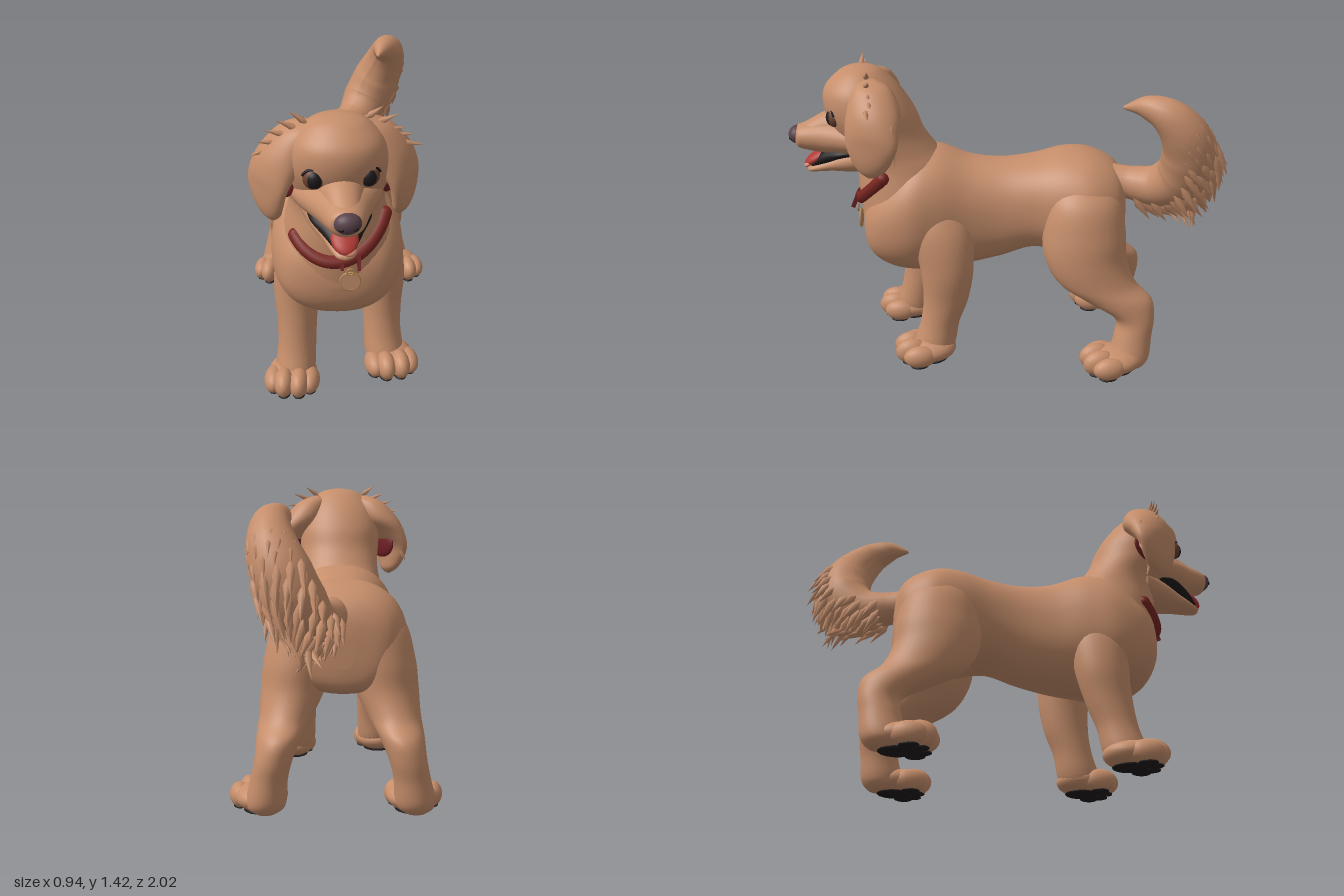
import * as THREE from 'three';
import { mergeGeometries } from 'three/addons/utils/BufferGeometryUtils.js';

const mat = (name, color) => Object.assign(new THREE.MeshStandardMaterial({ color }), { name });
const V = (x, y, z) => new THREE.Vector3(x, y, z);

let seed = 7;
const rand = () => (seed = (seed * 16807) % 2147483647) / 2147483647;

function add(parent, name, geometry, material) {
  const m = new THREE.Mesh(geometry, material);
  m.name = name;
  parent.add(m);
  return m;
}

function blob(parent, name, material, pos, radii, seg = 24) {
  const m = add(parent, name, new THREE.SphereGeometry(1, seg, Math.ceil(seg * 0.7)), material);
  m.position.set(...pos);
  m.scale.set(...radii);
  return m;
}

// Smoothly interpolated rounded sections [x, y, z, a, b, turn].
// axis 'y': horizontal (a on x, b on z); axis 'z': upright (a on x, b on y). power < 1 squares them off.
function loft(sections, axis, power = 1, steps = 6, n = 36) {
  const last = sections.length - 1, pos = [], idx = [], rings = last * steps + 1;
  const at = i => sections[Math.min(last, Math.max(0, i))];
  const soft = c => Math.sign(c) * Math.abs(c) ** power;
  for (let r = 0; r < rings; r++) {
    const k = Math.min(last - 1, Math.floor(r / steps)), t = r / steps - k;
    const [x, y, z, a, b, turn] = [0, 1, 2, 3, 4, 5].map(c => {
      const [p, q, s, w] = [-1, 0, 1, 2].map(o => at(k + o)[c] ?? 0);
      return q + 0.5 * t * (s - p + t * (2 * p - 5 * q + 4 * s - w + t * (3 * (q - s) + w - p)));
    });
    for (let j = 0; j < n; j++) {
      const th = (j / n) * Math.PI * 2;
      const u = soft(Math.cos(th)) * Math.max(a, 0.002), v = soft(Math.sin(th)) * Math.max(b, 0.002);
      const u2 = u * Math.cos(turn) - v * Math.sin(turn), v2 = u * Math.sin(turn) + v * Math.cos(turn);
      pos.push(x + u2, axis === 'y' ? y : y + v2, axis === 'y' ? z + v2 : z);
    }
  }
  for (let r = 0; r < rings - 1; r++) for (let j = 0; j < n; j++) {
    const a = r * n + j, b = r * n + (j + 1) % n;
    idx.push(a, a + n, b, b, a + n, b + n);
  }
  for (let j = 1; j < n - 1; j++) {
    const e = (rings - 1) * n;
    idx.push(0, j, j + 1, e, e + j + 1, e + j);
  }
  // Turn the faces outward whichever way the sections run
  const P = i => V(pos[3 * i], pos[3 * i + 1], pos[3 * i + 2]);
  let vol = 0;
  for (let i = 0; i < idx.length; i += 3) vol += P(idx[i]).dot(P(idx[i + 1]).cross(P(idx[i + 2])));
  if (vol < 0) idx.reverse();
  const g = new THREE.BufferGeometry();
  g.setAttribute('position', new THREE.Float32BufferAttribute(pos, 3));
  g.setIndex(idx);
  g.computeVertexNormals();
  return g;
}

// Spindle-shaped lock of fur starting at p and running along dir
function lock(p, dir, length, radius) {
  const profile = [[0, 0], [radius, length * .35], [0, length]].map(q => new THREE.Vector2(...q));
  const g = new THREE.LatheGeometry(profile, 6);
  g.applyQuaternion(new THREE.Quaternion().setFromUnitVectors(V(0, 1, 0), dir.clone().normalize()));
  return g.translate(p.x, p.y, p.z);
}

export function createModel() {
  const fur = mat('fur', 0xc68e6b), dark = mat('black', 0x1f191a), nose = mat('nose', 0x5a434c);
  const red = mat('collar red', 0x7a2620), inner = mat('inner ear', 0x6e2024), tongueRed = mat('tongue', 0xb03a34);
  const pink = mat('tongue tip', 0xd98a72), iris = mat('iris', 0x6b4230), gold = mat('tag', 0xb98a55);
  const dog = new THREE.Group();
  dog.name = 'puppy';

  // Torso: z, top, bottom, half width
  const torso = [[-.592, .78, .64, .04], [-.578, .87, .56, .16], [-.53, .94, .52, .23], [-.42, .99, .5, .28],
    [-.3, .998, .5, .265], [-.15, .965, .52, .22], [0, .95, .47, .205], [.15, .965, .435, .222], [.3, 1.015, .42, .265],
    [.42, 1, .412, .288], [.53, .915, .435, .265], [.61, .83, .485, .215], [.65, .75, .55, .135], [.666, .68, .63, .03]];
  add(dog, 'torso', loft(torso.map(([z, t, b, w]) => [-.035, (t + b) / 2, z, w, (t - b) / 2]), 'z', .87, 6, 48), fur);

  // Neck and skull
  const neck = [[.6, .42, .24, .27], [.72, .435, .238, .255], [.85, .445, .236, .232], [.95, .465, .216, .208],
    [1.02, .505, .195, .2], [1.1, .568, .203, .208], [1.2, .612, .207, .215], [1.3, .645, .175, .188],
    [1.37, .65, .112, .128], [1.4, .65, .06, .07], [1.41, .65, 0, 0]];
  add(dog, 'neckAndSkull', loft(neck.map(([y, z, rz, rx]) => [-.035, y, z, rx, rz]), 'y'), fur);

  // Head features, turned slightly to one side
  const turned = new THREE.Group(), head = new THREE.Group();
  turned.name = 'headTurn';
  head.name = 'head';
  turned.position.set(-.042, 0, .6);
  turned.rotation.y = .1;
  head.position.z = -.6;
  turned.add(head);
  dog.add(turned);

  add(head, 'muzzle', loft([[0, 1.075, .6, .2, .1], [0, 1.077, .7, .172, .09], [0, 1.08, .78, .138, .085],
    [0, 1.078, .85, .105, .078], [0, 1.077, .92, .08, .063], [0, 1.077, .955, .062, .05],
    [0, 1.077, .972, .02, .02]], 'z'), fur);
  add(head, 'noseBridge', loft([[0, 1.13, .7, .12, .1], [0, 1.115, .82, .08, .078], [0, 1.1, .9, .06, .052],
    [0, 1.09, .95, .045, .038]], 'z'), fur);
  add(head, 'lowerJaw', loft([[0, 1, .6, .15, .1], [0, .97, .71, .118, .07], [0, .947, .8, .08, .042],
    [0, .928, .87, .055, .025], [0, .917, .91, .034, .014], [0, .914, .922, .005, .005]], 'z'), fur);
  add(head, 'mouthInside', loft([[0, 1.02, .68, .13, .03], [0, 1.01, .76, .123, .035], [0, .985, .83, .083, .04],
    [0, .96, .875, .055, .028], [0, .94, .9, .038, .01]], 'z'), dark);
  blob(head, 'tongue', tongueRed, [0, .977, .867], [.055, .026, .078]).rotation.x = .55;
  blob(head, 'tongueTip', pink, [.012, .945, .913], [.03, .013, .026]).rotation.x = .6;
  blob(head, 'nose', nose, [0, 1.085, .955], [.054, .043, .042]);
  for (const s of [-1, 1]) blob(head, 'nostril', dark, [s * .025, 1.073, .982], [.014, .009, .012], 10);

  // Ear sections for the model's left side: y, x, z, thickness, breadth
  const earRows = [[1.37, .12, .61, .015, .03], [1.335, .15, .6, .07, .09], [1.25, .198, .592, .1, .125],
    [1.17, .25, .602, .075, .132], [1.1, .278, .608, .048, .127], [1.03, .278, .612, .04, .098],
    [.98, .27, .615, .03, .062], [.95, .265, .62, .006, .012]];
  for (const s of [-1, 1]) {
    // Eye: iris, pupil and upper lid line
    const eye = new THREE.Group();
    eye.name = 'eye';
    eye.position.set(s * .108, 1.19, .774);
    eye.rotation.y = s * .3;
    head.add(eye);
    blob(eye, 'iris', iris, [0, 0, 0], [.043, .042, .032]);
    blob(eye, 'pupil', dark, [-s * .004, 0, .007], [.034, .038, .029]);
    const lid = add(eye, 'lidLine', new THREE.TorusGeometry(.043, .006, 6, 20, 2.4), dark);
    lid.rotation.z = .37;
    lid.position.z = .012;
    // Ear flap joined to the skull by a thick root, with red lining
    add(head, 'ear', loft(earRows.map(([y, x, z, a, b]) => [s * x, y, z, a, b, s * .5]), 'y'), fur);
    blob(head, 'earLining', inner, [s * .225, 1.11, .585], [.02, .07, .095]).rotation.y = -s * .5;
    // Locks at the ear root and the rear edge
    const locks = [];
    for (let i = 0; i < 5; i++) {
      const t = i / 4;
      locks.push(lock(V(s * (.11 + .13 * t), 1.365 - .1 * t, .65 - .04 * rand()),
        V(s, .45 - .9 * t + .3 * rand(), -.1), .09 + .03 * rand(), .014));
    }
    for (let i = 0; i < 4; i++)
      locks.push(lock(V(s * .305, 1.22 - .04 * i, .52), V(s * .45, -1, -.15), .085, .014));
    add(head, 'earLocks', mergeGeometries(locks), fur);
  }

  // Collar around the front of the neck, sloping up toward the back
  const band = [];
  for (let i = 0; i <= 12; i++) {
    const t = -.95 + i / 12 * 2.1, z = .455 + .222 * Math.cos(t), x = .217 * Math.sin(t);
    band.push(V(-.035 + x, .765 + (.677 - z) * 1.05 + .1 * x, z));
  }
  add(dog, 'collar', new THREE.TubeGeometry(new THREE.CatmullRomCurve3(band), 48, .031, 10), red);
  for (const p of [band[0], band[12]]) blob(dog, 'collarEnd', red, p.toArray(), [.031, .031, .031], 12);
  for (const x of [-.02, .05]) {
    const keeper = add(dog, 'collarKeeper', new THREE.BoxGeometry(.014, .066, .02), inner);
    keeper.position.set(x, .77, .695);
    keeper.rotation.x = -.4;
  }
  // Round tag on a small ring
  const tag = add(dog, 'tag', new THREE.CylinderGeometry(.04, .04, .008, 28), fur);
  tag.rotation.x = Math.PI / 2;
  const rim = add(dog, 'tagRim', new THREE.TorusGeometry(.041, .005, 8, 32), gold);
  const link = add(dog, 'tagLink', new THREE.TorusGeometry(.014, .004, 6, 16), gold);
  tag.position.set(.015, .67, .677);
  rim.position.copy(tag.position);
  link.position.set(.015, .722, .69);

  // Paw with four toes and dark pads
  function paw(name, x, z, turn) {
    const g = new THREE.Group();
    g.name = name;
    g.position.set(x, 0, z);
    g.rotation.y = turn;
    dog.add(g);
    blob(g, 'foot', fur, [0, .07, .01], [.112, .062, .125]);
    blob(g, 'heelPad', dark, [0, .014, .005], [.075, .011, .08], 16);
    for (const [tx, ty, tz] of [[-.082, .064, .065], [-.034, .073, .1], [.034, .073, .1], [.082, .064, .065]]) {
      blob(g, 'toe', fur, [tx, ty, tz], [.046, ty - .01, .08], 18);
      blob(g, 'toePad', dark, [tx, .015, tz + .005], [.03, .011, .044], 12);
    }
  }

  // Front legs; the right one stands further forward
  const foreRows = [[.09, .85, .33, .07, .09], [.145, .67, .29, .11, .145], [.178, .48, .262, .105, .126],
    [.18, .32, .27, .092, .108], [.182, .2, .3, .088, .094], [.19, .1, .325, .092, .1],
    [.197, .05, .335, .085, .09], [.2, .02, .335, .05, .06]];
  add(dog, 'leftFrontLeg', loft(foreRows, 'y'), fur);
  add(dog, 'rightFrontLeg', loft(foreRows.map(([x, y, z, a, b]) =>
    [-x - .037, y, z + .125 - .12 * Math.max(0, y - .3), a, b]), 'y'), fur);
  paw('leftFrontPaw', .212, .34, .15);
  paw('rightFrontPaw', -.24, .462, -.06);

  // Hind legs with full thighs and raised hocks
  const hindRows = [[.07, .93, -.37, .08, .08], [.13, .82, -.38, .155, .17], [.18, .66, -.385, .155, .196],
    [.205, .53, -.395, .145, .193], [.235, .42, -.45, .12, .182], [.262, .345, -.548, .1, .16],
    [.285, .26, -.626, .082, .095], [.305, .17, -.62, .08, .09], [.318, .08, -.605, .088, .098],
    [.322, .04, -.6, .08, .085], [.322, .018, -.6, .05, .06]];
  for (const s of [-1, 1]) {
    add(dog, s > 0 ? 'leftHindLeg' : 'rightHindLeg',
      loft(hindRows.map(([x, y, z, a, b]) => [s * x - .02, y, z, a, b]), 'y'), fur);
    paw(s > 0 ? 'leftHindPaw' : 'rightHindPaw', s * .328 - .002, -.55, s * .2);
  }

  // Tail: path points with radii, curling up and forward
  const tailRows = [[.01, .86, -.48, .085], [.04, .857, -.6, .078], [.095, .862, -.73, .1], [.155, .94, -.825, .125],
    [.215, 1.06, -.84, .125], [.255, 1.17, -.795, .105], [.26, 1.25, -.72, .08], [.23, 1.28, -.63, .052],
    [.2, 1.27, -.535, .006]];
  const path = new THREE.CatmullRomCurve3(tailRows.map(r => V(r[0], r[1], r[2])));
  const tailRadius = u => {
    const k = path.getUtoTmapping(u) * (tailRows.length - 1), i = Math.min(tailRows.length - 2, Math.floor(k));
    return THREE.MathUtils.lerp(tailRows[i][3], tailRows[i + 1][3], k - i);
  };
  const N = 48, tube = new THREE.TubeGeometry(path, N, 1, 20), tp = tube.attributes.position, v = V(0, 0, 0);
  for (let i = 0; i < tp.count; i++) {
    const u = Math.floor(i / 21) / N, c = path.getPointAt(u);
    v.fromBufferAttribute(tp, i).sub(c).multiplyScalar(tailRadius(u)).add(c);
    tp.setXYZ(i, v.x, v.y, v.z);
  }
  tube.computeVertexNormals();
  add(dog, 'tail', tube, fur);

  // Overlapping locks on the outside of the tail, hanging down and back
  const frames = path.computeFrenetFrames(N), tufts = [], hub = V(.15, 1.06, -.66);
  for (let i = 8; i < 36; i += 2) for (let j = 0; j < 11; j++) {
    const th = (j + (i % 4) / 4 + .4 * rand()) / 11 * Math.PI * 2, c = path.getPointAt(i / N);
    const n = frames.normals[i].clone().multiplyScalar(Math.cos(th)).addScaledVector(frames.binormals[i], Math.sin(th));
    if (n.dot(c.clone().sub(hub).normalize()) < -.1) continue;
    const d = V(0, -.75, -.5);
    d.addScaledVector(n, .1 - d.dot(n) * .85);
    const fade = i > 28 ? .6 : 1;
    tufts.push(lock(c.addScaledVector(n, tailRadius(i / N) * .93), d, (.12 + .06 * rand()) * fade, .02 * fade));
  }
  add(dog, 'tailLocks', mergeGeometries(tufts), fur);
  return dog;
}
